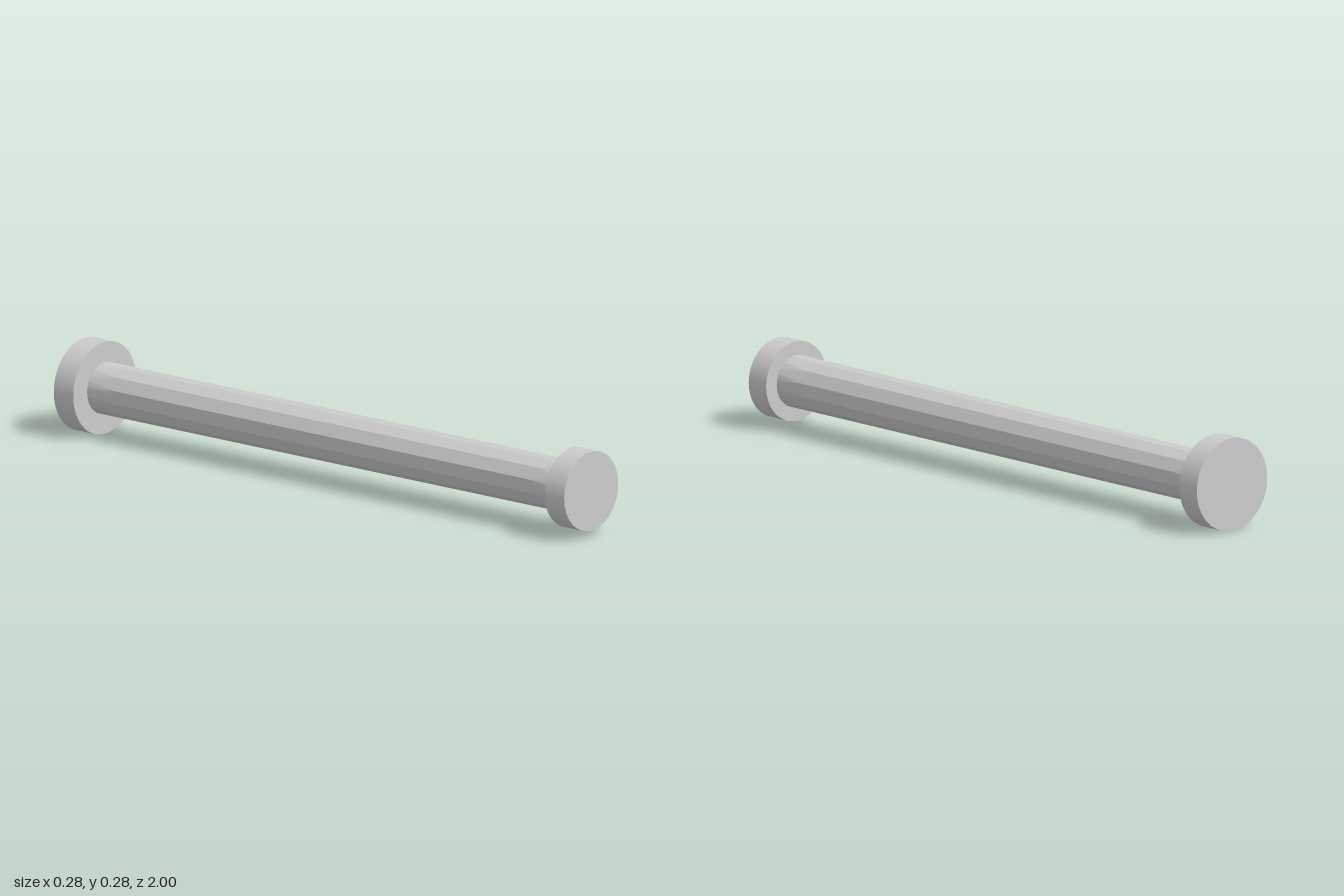
import * as THREE from 'three';
import { toCreasedNormals } from 'three/addons/utils/BufferGeometryUtils.js';

const AXIS_Y = 0.14;
const CAP = 0.077; // cap thickness
const SHAFT_R = 0.078;
const SIDES = 12;

// Shaft: twelve flats along the middle that run out into a round section at both ends
function shaftGeometry() {
  const half = 1 - CAP;
  const levels = [-half, -0.89, -0.86, -0.82, -0.77, 0.77, 0.82, 0.86, 0.89, half];
  const runOut = [1, 0.55, 0.25, 0.07, 0, 0, 0.07, 0.25, 0.55, 1];
  const geo = new THREE.CylinderGeometry(1, 1, 1, SIDES * 6, levels.length - 1, true);
  const pos = geo.attributes.position;
  const step = (Math.PI * 2) / SIDES;
  const apothem = SHAFT_R * Math.cos(step / 2);
  for (let i = 0; i < pos.count; i++) {
    const x = pos.getX(i), z = pos.getZ(i);
    const level = Math.round((pos.getY(i) + 0.5) * (levels.length - 1));
    const a = Math.atan2(x, z);
    const off = a - Math.round(a / step) * step;
    const flat = apothem / Math.cos(off);
    const r = Math.min(SHAFT_R, flat + (SHAFT_R - apothem) * runOut[level]);
    pos.setXYZ(i, Math.sin(a) * r, levels[level], Math.cos(a) * r);
  }
  return toCreasedNormals(geo, 0.35);
}

export function createModel() {
  const group = new THREE.Group();
  const material = new THREE.MeshStandardMaterial({ color: 0xcccccc });

  // Every part is turned about the long z axis
  const add = (name, geo, z) => {
    geo.rotateX(Math.PI / 2);
    const mesh = new THREE.Mesh(geo, material);
    mesh.name = name;
    mesh.position.set(0, AXIS_Y, z);
    group.add(mesh);
  };

  add('shaft', shaftGeometry(), 0);
  add('frontCap', new THREE.CylinderGeometry(0.12, 0.12, CAP, 72), 1 - CAP / 2);
  add('backCap', new THREE.CylinderGeometry(0.14, 0.14, CAP, 72), -1 + CAP / 2);
  return group;
}
